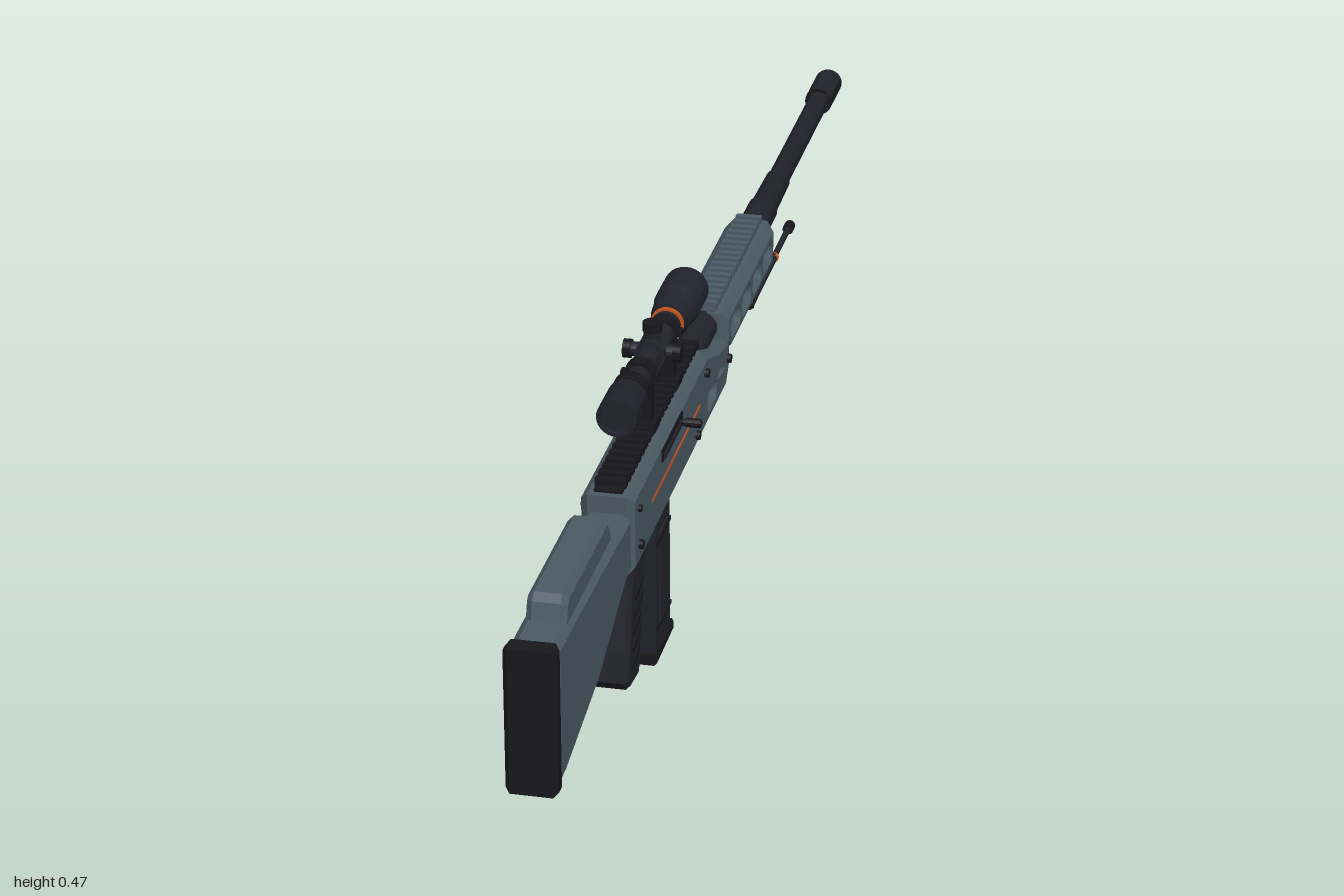
import * as THREE from 'three';
import { toCreasedNormals } from 'three/addons/utils/BufferGeometryUtils.js';

export function createModel() {
  const mat = (name, color) => {
    const m = new THREE.MeshStandardMaterial({ color });
    m.name = name;
    return m;
  };
  const slate = mat('slate', 0x4a5a64);
  const dark = mat('dark', 0x22222c);
  const black = mat('black', 0x17171d);
  const orange = mat('orange', 0xc8561c);

  const root = new THREE.Group();
  root.name = 'rifle';
  const body = new THREE.Group();
  body.name = 'rifleBody';
  body.position.x = -0.0115;
  root.add(body);

  const add = (name, geo, m, x = 0, y = 0, z = 0) => {
    const mesh = new THREE.Mesh(geo, m);
    mesh.name = name;
    mesh.position.set(x, y, z);
    body.add(mesh);
    return mesh;
  };
  const box = (name, w, h, d, m, x, y, z) => add(name, new THREE.BoxGeometry(w, h, d), m, x, y, z);
  const smooth = (g) => toCreasedNormals(g, 0.6);
  // Cylinders along each axis
  const cylZ = (name, r, len, m, x, y, z, n = 24) =>
    add(name, smooth(new THREE.CylinderGeometry(r, r, len, n).rotateX(Math.PI / 2)), m, x, y, z);
  const cylX = (name, r, len, m, x, y, z, n = 16) =>
    add(name, smooth(new THREE.CylinderGeometry(r, r, len, n).rotateZ(Math.PI / 2)), m, x, y, z);
  // Turned part along z, profile as [radius, z] with z rising
  const turned = (name, pts, m, y) =>
    add(name, smooth(new THREE.LatheGeometry(pts.map((p) => new THREE.Vector2(...p)), 28).rotateX(Math.PI / 2)), m, 0, y, 0);
  // Side outline as [z, y], extruded across x with chamfered edges
  const side = (name, pts, half, bevel, m, holes = []) => {
    const s = new THREE.Shape(pts.map((p) => new THREE.Vector2(...p)));
    for (const [z, y, w, h] of holes) {
      const r = h / 2, a = w / 2 - r, p = new THREE.Path();
      p.absarc(z + a, y, r, -Math.PI / 2, Math.PI / 2, false);
      p.absarc(z - a, y, r, Math.PI / 2, Math.PI * 1.5, false);
      p.closePath();
      s.holes.push(p);
    }
    const g = new THREE.ExtrudeGeometry(s, {
      depth: 2 * (half - bevel), bevelEnabled: true, bevelThickness: bevel,
      bevelSize: bevel, bevelOffset: -bevel, bevelSegments: 1, curveSegments: 6,
    });
    g.translate(0, 0, -(half - bevel)).rotateY(-Math.PI / 2);
    return add(name, g, m);
  };
  const rect = (z0, z1, y0, y1) => [[z0, y0], [z1, y0], [z1, y1], [z0, y1]];

  // Stock, butt pad and cheek rest
  side('stock', [[0.58, 0.236], [0.62, 0.228], [0.77, 0.169], [0.95, 0.137], [0.98, 0.137], [0.98, 0.331], [0.9, 0.331], [0.58, 0.318]], 0.032, 0.01, slate);
  side('buttPad', rect(0.974, 1, 0.133, 0.336), 0.034, 0.006, black);
  side('cheekRest', [[0.665, 0.32], [0.92, 0.32], [0.91, 0.355], [0.9, 0.364], [0.69, 0.364], [0.675, 0.35]], 0.026, 0.008, slate);

  // Receiver with lightening slots at its front
  side('receiver', [[-0.005, 0.228], [0.59, 0.228], [0.59, 0.343], [0.125, 0.343], [0.05, 0.315], [-0.03, 0.3], [-0.03, 0.255]],
    0.036, 0.01, slate, [[0.095, 0.262, 0.046, 0.011], [0.03, 0.262, 0.046, 0.011]]);
  cylZ('barrelShank', 0.022, 0.16, dark, 0, 0.322, 0.06);

  // Handguard with side slots
  const slots = [0, 1, 2, 3].map((i) => [-0.065 - i * 0.078, 0.307, 0.046, 0.009]);
  side('handguard', [[-0.355, 0.273], [-0.03, 0.273], [-0.005, 0.29], [-0.005, 0.343], [-0.355, 0.343]], 0.037, 0.012, slate, slots);

  // Toothed top rails
  const rail = (name, z0, z1, half, m) => {
    box(name + 'Base', half * 1.8, 0.012, z1 - z0, m, 0, 0.341, (z0 + z1) / 2);
    for (let z = z0 + 0.006; z < z1; z += 0.02) box(name + 'Tooth', half * 2, 0.011, 0.011, m, 0, 0.35, z);
  };
  rail('receiverRail', 0.115, 0.58, 0.021, black);
  rail('handguardRail', -0.345, -0.01, 0.019, slate);

  // Barrel
  turned('barrel', [[0, -0.93], [0.0165, -0.93], [0.0165, -0.57], [0.019, -0.565], [0.0205, -0.45], [0.023, -0.445], [0.023, -0.35], [0.02, -0.34], [0.02, 0], [0, 0]], dark, 0.322);

  // Ported muzzle brake: discs joined by top and bottom shells
  for (const [z, d] of [[-0.916, 0.014], [-0.946, 0.007], [-0.968, 0.007], [-0.994, 0.012]])
    cylZ('muzzleDisc', 0.022, d, black, 0, 0.322, z);
  for (const turn of [0, Math.PI]) {
    const s = new THREE.Shape();
    s.absarc(0, 0, 0.022, 0.45, Math.PI - 0.45, false);
    const g = new THREE.ExtrudeGeometry(s, { depth: 0.09, bevelEnabled: false, curveSegments: 12 });
    add('muzzleShell', smooth(g.rotateZ(turn)), dark, 0, 0.322, -0.999);
  }

  // Magazine with ribs and base plate
  side('magazine', rect(0.312, 0.408, 0.008, 0.235), 0.023, 0.004, dark);
  side('magazineBase', rect(0.304, 0.416, 0, 0.015), 0.026, 0.003, black);
  for (const s of [-1, 1]) {
    box('magazinePanel', 0.004, 0.15, 0.05, dark, s * 0.0235, 0.115, 0.36);
    for (const y of [0.05, 0.18]) box('magazineRib', 0.006, 0.005, 0.085, black, s * 0.0225, y, 0.36);
  }

  // Pistol grip with finger grooves
  side('grip', [[0.475, 0.235], [0.478, 0.2], [0.49, 0.175], [0.485, 0.155], [0.5, 0.13], [0.495, 0.11], [0.511, 0.085], [0.507, 0.07], [0.52, 0.044], [0.575, 0.05], [0.587, 0.065], [0.58, 0.11], [0.56, 0.2], [0.555, 0.235]], 0.026, 0.006, dark);
  for (const s of [-1, 1])
    for (let i = 0; i < 5; i++)
      box('gripRib', 0.004, 0.005, 0.045, black, s * 0.026, 0.085 + i * 0.023, 0.545 - i * 0.006).rotation.x = 0.25;

  // Trigger and guard
  box('triggerGuardBar', 0.014, 0.007, 0.085, black, 0, 0.17, 0.447);
  box('triggerGuardFront', 0.014, 0.06, 0.006, black, 0, 0.198, 0.411);
  const curve = new THREE.QuadraticBezierCurve3(new THREE.Vector3(0, 0.23, 0.465), new THREE.Vector3(0, 0.205, 0.475), new THREE.Vector3(0, 0.187, 0.455));
  add('trigger', new THREE.TubeGeometry(curve, 8, 0.005, 8), black);

  // Bolt slot and handle on the left side
  box('boltSlot', 0.008, 0.018, 0.125, black, 0.034, 0.324, 0.36);
  box('boltCover', 0.005, 0.008, 0.105, dark, 0.038, 0.322, 0.365);
  cylX('boltHandle', 0.005, 0.035, black, 0.048, 0.32, 0.305);
  cylX('boltKnob', 0.0065, 0.02, black, 0.0545, 0.32, 0.305);

  // Selector panel on the right side
  box('selectorPanel', 0.005, 0.034, 0.05, black, -0.0365, 0.256, 0.37);
  box('selectorLever', 0.006, 0.02, 0.01, orange, -0.039, 0.257, 0.362).rotation.x = 0.4;
  box('selectorMark', 0.004, 0.016, 0.006, orange, -0.038, 0.254, 0.383);

  // Accent stripes and pins on both sides
  for (const s of [-1, 1]) {
    box('accentStripe', 0.002, 0.004, 0.3, orange, s * 0.0362, 0.286, 0.33);
    for (const [z, y] of [[0.555, 0.26], [0.14, 0.318], [-0.012, 0.272], [0.2, 0.25]])
      cylX('pin', 0.0065, 0.008, black, s * 0.0375, y, z);
    cylX('rearPin', 0.005, 0.007, black, s * 0.037, 0.315, 0.56);
  }

  // Scope
  const sy = 0.427;
  turned('scopeTube', [
    [0, 0.108], [0.027, 0.108], [0.028, 0.1], [0.032, 0.1], [0.032, 0.165], [0.029, 0.17], [0.028, 0.2], [0.018, 0.235], [0.0165, 0.24],
    [0.0165, 0.415], [0.022, 0.43], [0.024, 0.44], [0.024, 0.46], [0.027, 0.465], [0.027, 0.53], [0.023, 0.53], [0.022, 0.523], [0, 0.523],
  ], dark, sy);
  cylZ('scopeAccentRing', 0.0235, 0.006, orange, 0, sy, 0.224);
  for (let i = 0; i < 3; i++) cylZ('zoomRib', 0.0255, 0.005, black, 0, sy, 0.438 + i * 0.009);
  cylZ('turretSaddle', 0.021, 0.045, dark, 0, sy, 0.313);
  add('topTurret', smooth(new THREE.CylinderGeometry(0.011, 0.011, 0.04, 16)), dark, 0, sy + 0.018, 0.313);
  add('topTurretCap', smooth(new THREE.CylinderGeometry(0.0135, 0.0135, 0.013, 16)), black, 0, sy + 0.036, 0.313);
  cylX('sideTurrets', 0.01, 0.07, dark, 0, sy, 0.313);
  for (const s of [-1, 1]) cylX('sideTurretCap', 0.013, 0.011, black, s * 0.0345, sy, 0.313);

  // Scope mounts
  for (const z of [0.39, 0.248]) {
    cylZ('mountRing', 0.0215, 0.02, black, 0, sy, z);
    box('mountPost', 0.034, 0.06, 0.018, black, 0, 0.385, z);
    box('mountClamp', 0.046, 0.014, 0.026, black, 0, 0.354, z);
    for (const s of [-1, 1]) box('mountLug', 0.01, 0.009, 0.014, black, s * 0.021, sy, z);
  }

  // Folded bipod
  box('bipodMount', 0.03, 0.024, 0.035, black, 0, 0.264, -0.262);
  cylX('bipodHinge', 0.008, 0.05, black, 0, 0.251, -0.255);
  for (const s of [-1, 1]) {
    const x = s * 0.019;
    cylZ('bipodUpperLeg', 0.0065, 0.19, dark, x, 0.248, -0.345, 12);
    cylZ('bipodLegRing', 0.0075, 0.01, orange, x, 0.247, -0.438, 12);
    cylZ('bipodLowerLeg', 0.0045, 0.13, dark, x, 0.246, -0.5, 12);
    cylZ('bipodFoot', 0.0085, 0.018, black, x, 0.246, -0.562, 12);
  }
  return root;
}
